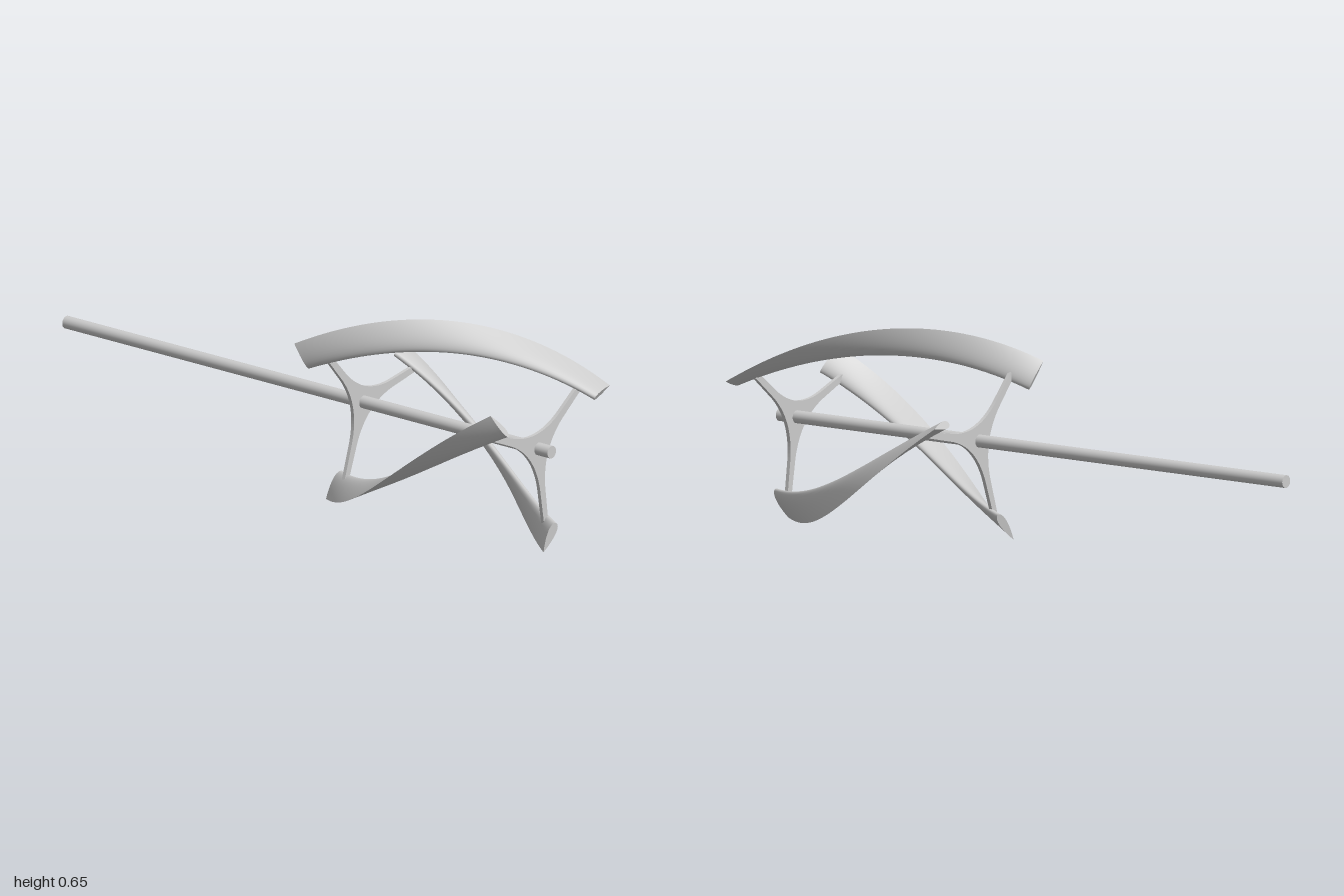
import * as THREE from 'three';

const material = new THREE.MeshStandardMaterial({ color: 0xcccccc });
const AXIS_Y = 0.325;                        // height of the rotor axis
const Z_BACK = 0.146, Z_FRONT = 0.985;       // ends of the blade path
const A_BACK = THREE.MathUtils.degToRad(138.4);
const A_FRONT = THREE.MathUtils.degToRad(29.3);
const RADIUS = 0.277, CHORD = 0.1, THICKNESS = 0.26;
const PITCH = THREE.MathUtils.degToRad(23.5);

const bladeAngle = (z) => THREE.MathUtils.mapLinear(z, Z_BACK, Z_FRONT, A_BACK, A_FRONT);

// Symmetric airfoil, counter-clockwise from the sharp outer edge round the blunt inner edge
function airfoil(n = 16) {
  const points = [];
  for (let k = 0; k <= 2 * n; k++) {
    const s = (1 + Math.cos((Math.PI * k) / n)) / 2;
    const half = 5 * THICKNESS *
      (0.2969 * Math.sqrt(s) - 0.126 * s - 0.3516 * s ** 2 + 0.2843 * s ** 3 - 0.1036 * s ** 4);
    const c = (s - 0.5) * CHORD;
    const d = (k <= n ? 1 : -1) * half * CHORD;
    points.push([c * Math.cos(PITCH) + d * Math.sin(PITCH), -c * Math.sin(PITCH) + d * Math.cos(PITCH)]);
  }
  return points;
}

// Airfoil swept along a helix, each section square to the path
function bladeGeometry(steps = 64) {
  const ring = airfoil(), m = ring.length;
  const slope = (RADIUS * (A_FRONT - A_BACK)) / (Z_FRONT - Z_BACK);
  const len = Math.hypot(1, slope);
  const nTan = 1 / len, nZ = -slope / len;
  const position = [], index = [];
  const addRing = (t) => {
    const zc = THREE.MathUtils.lerp(Z_BACK, Z_FRONT, t);
    const a = bladeAngle(zc), cos = Math.cos(a), sin = Math.sin(a);
    for (const [u, v] of ring) {
      const r = RADIUS + u, w = v * nTan;
      position.push(r * cos - w * sin, r * sin + w * cos, zc + v * nZ);
    }
  };
  for (let i = 0; i <= steps; i++) addRing(i / steps);
  for (let i = 0; i < steps; i++) {
    for (let j = 0; j < m - 1; j++) {
      const a = i * m + j, c = a + m;
      index.push(a, a + 1, c, a + 1, c + 1, c);
    }
  }
  // Flat end caps with their own vertices
  for (const t of [0, 1]) {
    const base = position.length / 3;
    addRing(t);
    for (let j = 1; j < m - 2; j++) {
      if (t) index.push(base, base + j, base + j + 1);
      else index.push(base, base + j + 1, base + j);
    }
  }
  const geometry = new THREE.BufferGeometry();
  geometry.setAttribute('position', new THREE.Float32BufferAttribute(position, 3));
  geometry.setIndex(index);
  geometry.computeVertexNormals();
  return geometry;
}

// Three-armed plate with concave fillets between the arms
function spiderGeometry(depth = 0.012) {
  const shape = new THREE.Shape();
  const at = (angle, r, w) => [
    r * Math.cos(angle) - w * Math.sin(angle),
    r * Math.sin(angle) + w * Math.cos(angle),
  ];
  const third = (Math.PI * 2) / 3;
  shape.moveTo(...at(0, 0.15, -0.012));
  for (let k = 0; k < 3; k++) {
    const a = k * third;
    shape.lineTo(...at(a, 0.25, -0.01));
    shape.lineTo(...at(a, 0.25, 0.01));
    shape.lineTo(...at(a, 0.15, 0.012));
    shape.quadraticCurveTo(...at(a + third / 2, 0.0135, 0), ...at(a + third, 0.15, -0.012));
  }
  const geometry = new THREE.ExtrudeGeometry(shape, { depth, bevelEnabled: false, curveSegments: 24 });
  return geometry.translate(0, 0, -depth / 2);
}

export function createModel() {
  const model = new THREE.Group();
  model.name = 'helicalTurbine';
  const rotor = new THREE.Group();
  rotor.name = 'rotor';
  rotor.position.y = AXIS_Y;
  model.add(rotor);

  const add = (name, geometry) => {
    const mesh = new THREE.Mesh(geometry, material);
    mesh.name = name;
    rotor.add(mesh);
    return mesh;
  };

  // Long central shaft
  const shaft = new THREE.CylinderGeometry(0.02, 0.02, 1.99, 40).rotateX(Math.PI / 2);
  add('shaft', shaft).position.z = -0.005;

  // Three twisted blades
  const blade = bladeGeometry();
  for (let k = 0; k < 3; k++) add(`blade${k + 1}`, blade).rotation.z = (k * Math.PI * 2) / 3;

  // Support spiders, turned to meet the blades
  const spider = spiderGeometry();
  for (const [name, z] of [['frontSpider', 0.93], ['backSpider', 0.212]]) {
    const mesh = add(name, spider);
    mesh.position.z = z;
    mesh.rotation.z = bladeAngle(z) + 0.03;
  }
  return model;
}
